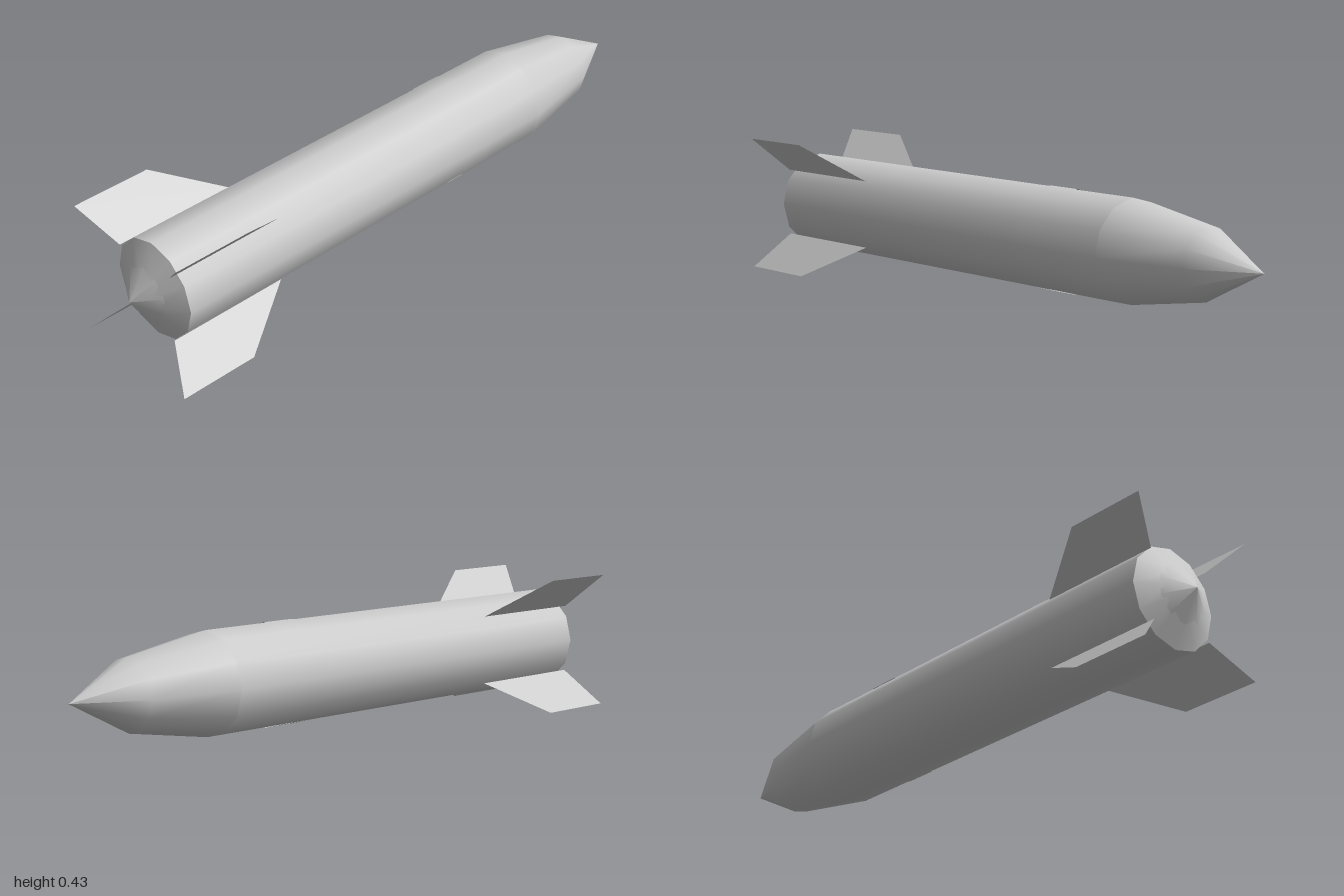
import * as THREE from 'three';

export function createModel() {
  const grey = new THREE.MeshStandardMaterial({ color: 0xcccccc, side: THREE.DoubleSide });
  grey.name = 'light grey';

  // The rocket is built along +y (nose up), then laid down with its nose towards -z.
  const rocket = new THREE.Group();
  rocket.name = 'rocket';
  const R = 0.156, AXIS_HEIGHT = 0.216;

  const add = (name, geometry) => {
    const mesh = new THREE.Mesh(geometry, grey);
    mesh.name = name;
    rocket.add(mesh);
    return mesh;
  };
  const lathe = (name, profile, sides = 12) =>
    add(name, new THREE.LatheGeometry(profile.map(([r, y]) => new THREE.Vector2(r, y)), sides));

  // Hull: separate sections keep the joints crisp
  lathe('body', [[R, -0.91], [R, 0.52]]);
  lathe('noseCone', [[R, 0.52], [0.108, 0.8], [0, 1]]);
  lathe('tailCone', [[0.075, -0.953], [R, -0.91]]);
  lathe('engineCone', [[0, -1], [0.091, -0.945]], 10);

  // Four thin fins on the diagonals
  const finShape = new THREE.Shape([
    [0.153, -0.54], [0.153, -0.937], [0.3055, -1], [0.3055, -0.745],
  ].map(([r, y]) => new THREE.Vector2(r, y)));
  for (let i = 0; i < 4; i++) {
    const fin = add('fin' + (i + 1), new THREE.ShapeGeometry(finShape));
    fin.rotation.y = Math.PI / 4 + i * Math.PI / 2;
  }

  // Four nearly flush patches around the upper body, two facets wide each
  for (let i = 0; i < 4; i++) {
    const start = i * Math.PI / 2 - Math.PI / 6;
    const patch = add('bodyPatch' + (i + 1),
      new THREE.CylinderGeometry(R + 0.002, R + 0.002, 0.11, 2, 1, true, start, Math.PI / 3));
    patch.position.y = 0.245;
  }

  rocket.rotation.x = -Math.PI / 2;
  rocket.position.y = AXIS_HEIGHT;
  const model = new THREE.Group();
  model.name = 'model';
  model.add(rocket);
  return model;
}
